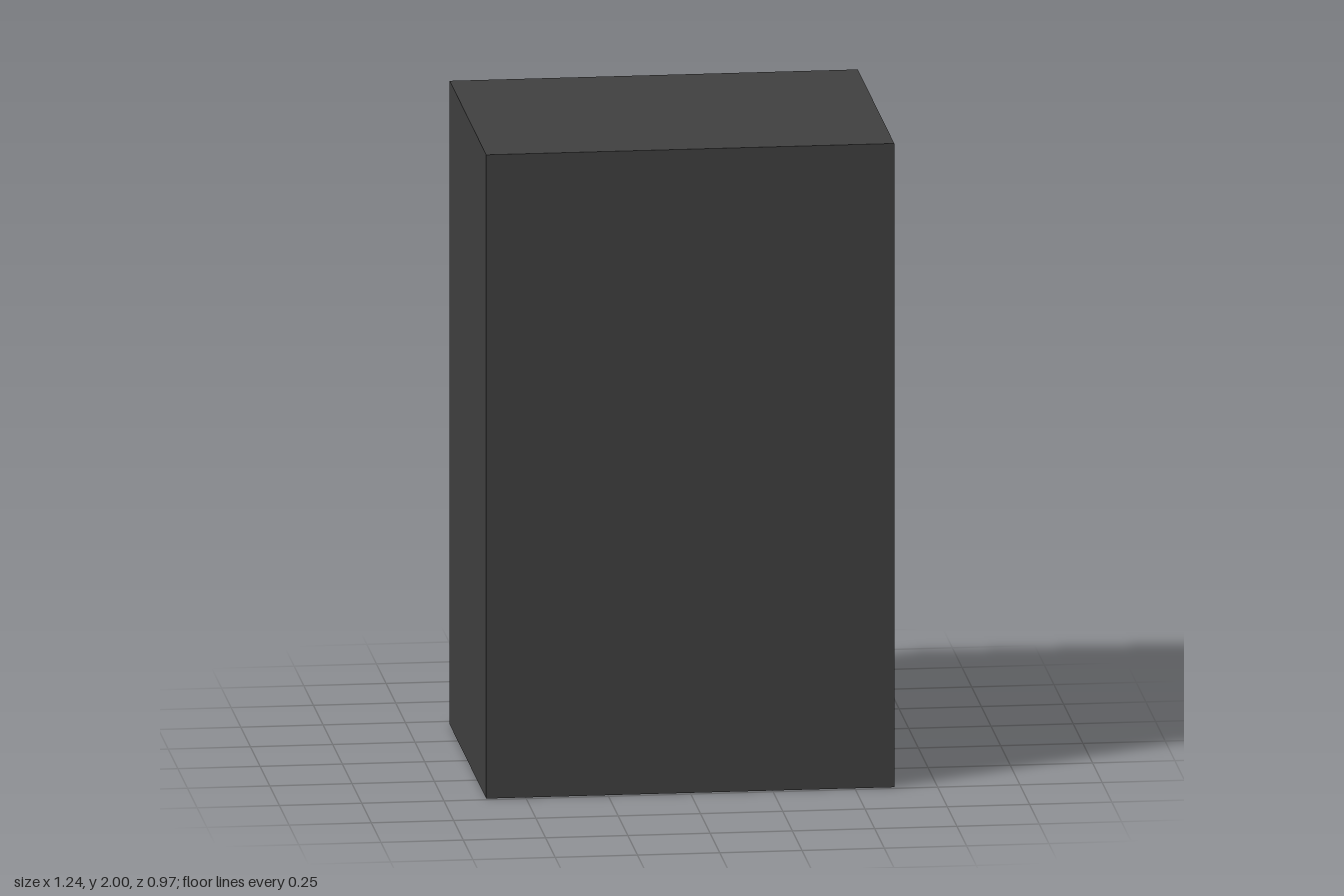
import * as THREE from 'three';

const BACK = -0.46;      // outer plane of the door side
const RECESS = 0.045;    // depth of the window behind that plane

const rectPoints = (x0, y0, x1, y1) =>
  [[x0, y0], [x1, y0], [x1, y1], [x0, y1]].map(([x, y]) => new THREE.Vector2(x, y));

// Flat plate starting at the door plane and running inwards
function plate(points, hole) {
  const shape = new THREE.Shape(points);
  if (hole) shape.holes.push(new THREE.Path(hole));
  return new THREE.ExtrudeGeometry(shape, { depth: RECESS, bevelEnabled: false })
    .translate(0, 0, BACK);
}

export function createModel() {
  const group = new THREE.Group();
  const dark = new THREE.MeshStandardMaterial({ color: 0x404040 });
  const pale = new THREE.MeshStandardMaterial({ color: 0xcccccc });

  const add = (name, geometry, material) => {
    const mesh = new THREE.Mesh(geometry, material);
    mesh.name = name;
    group.add(mesh);
    return mesh;
  };

  // Solid cabinet behind the door
  const inner = BACK + RECESS;
  const depth = 0.485 - inner;
  add('cabinet', new THREE.BoxGeometry(1.24, 2, depth).translate(0, 1, inner + depth / 2), dark);

  // Surround with the door opening
  add('doorSurround', plate(rectPoints(-0.62, 0, 0.62, 2),
    rectPoints(-0.537, 0.137, 0.562, 1.837)), dark);

  // Door frame: two stiles and a top rail, with a fine gap to the surround
  const frame = [
    [-0.531, 0.137], [-0.455, 0.137], [-0.455, 1.81], [0.49, 1.81],
    [0.49, 0.137], [0.55, 0.137], [0.55, 1.831], [-0.531, 1.831],
  ].map(([x, y]) => new THREE.Vector2(x, y));
  add('doorFrame', plate(frame), dark);

  // Window panel
  add('windowPanel', new THREE.BoxGeometry(0.945, 1.673, 0.004)
    .translate(0.0175, 0.9735, inner - 0.002), pale);

  // Handle: a block tapered towards its outer face
  const handle = new THREE.BoxGeometry(0.07, 0.57, 0.026);
  const p = handle.attributes.position;
  for (let i = 0; i < p.count; i++) {
    if (p.getZ(i) < 0) p.setXY(i, p.getX(i) * 0.36, p.getY(i) * 0.37);
  }
  handle.computeVertexNormals();
  add('handle', handle, dark).position.set(-0.49, 0.985, BACK - 0.013);

  return group;
}
